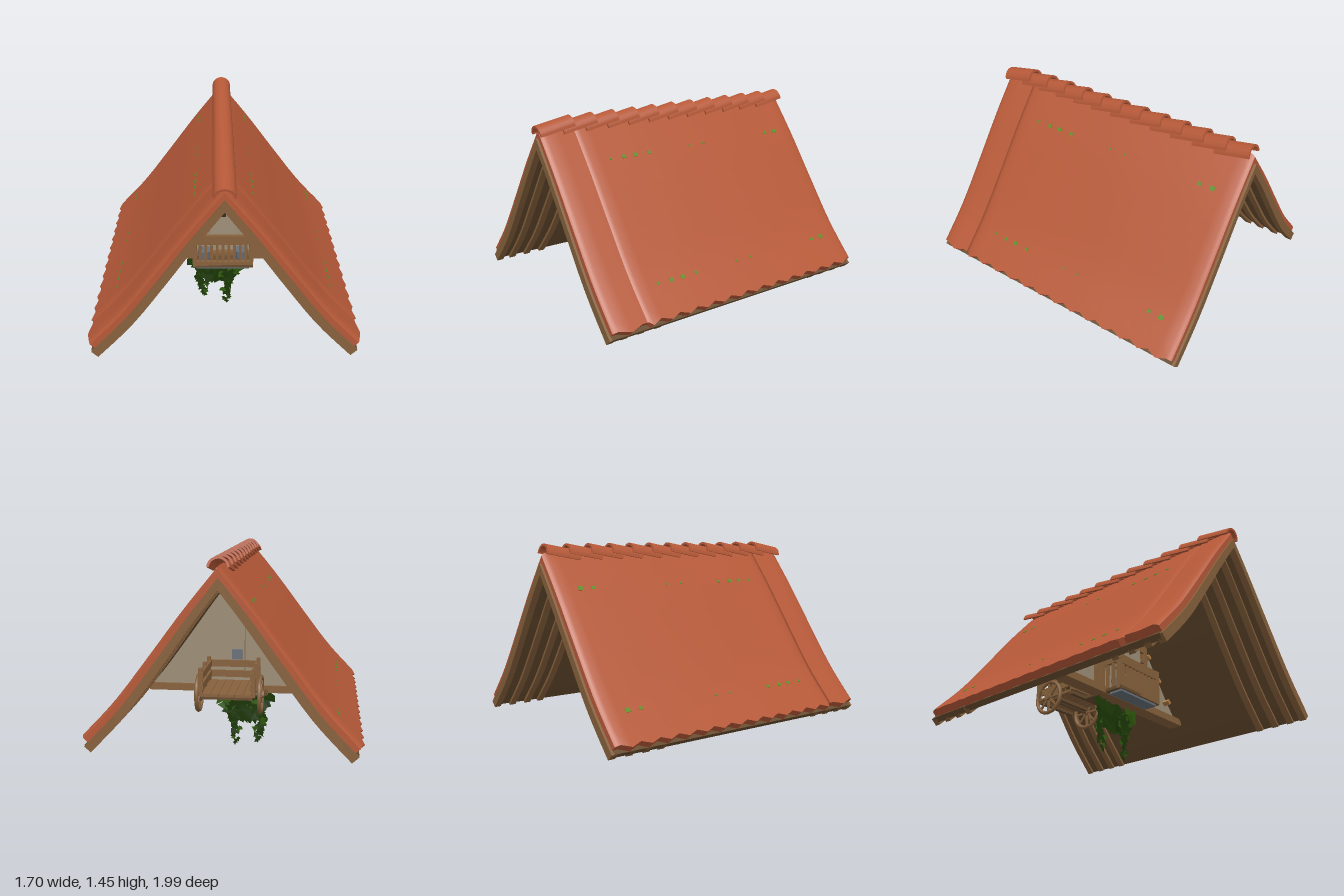
import * as THREE from 'three';
import { toCreasedNormals } from 'three/addons/utils/BufferGeometryUtils.js';

const mat = (name, color, side = THREE.FrontSide) => {
  const m = new THREE.MeshStandardMaterial({ color, side });
  m.name = name;
  return m;
};
const M = {
  tile: mat('terracotta', 0xb65938),
  wood: mat('oak', 0x87613c),
  dark: mat('dark oak', 0x674c2f),
  slot: mat('shadow brown', 0x3a2718),
  peg: mat('light oak', 0xb27c48),
  plaster: mat('plaster', 0x9c8d76),
  iron: mat('blue grey iron', 0x68707a),
  leaf: mat('ivy green', 0x1b3706, THREE.DoubleSide),
  leaf2: mat('fresh ivy green', 0x305a0c, THREE.DoubleSide),
  moss: mat('moss', 0x5c9128),
};

function add(parent, name, geo, material, p = [0, 0, 0], r = [0, 0, 0]) {
  const mesh = new THREE.Mesh(geo, material);
  mesh.name = name;
  mesh.position.set(...p);
  mesh.rotation.set(...r);
  parent.add(mesh);
  return mesh;
}
const box = (parent, name, m, size, p, r) => add(parent, name, new THREE.BoxGeometry(...size), m, p, r);
function group(parent, name) {
  const g = new THREE.Group();
  g.name = name;
  parent.add(g);
  return g;
}

// Roof slope from eave (t = 0) to ridge (t = 1)
const slope = new THREE.CatmullRomCurve3(
  [[0.838, 0.363], [0.635, 0.58], [0.425, 0.852], [0.205, 1.145], [0, 1.397]].map(([x, y]) => new THREE.Vector3(x, y, 0)));
const STEPS = 14;

// Point on the +x slope, sunk by depth; the sinking direction turns vertical at the ridge
function slopePoint(t, depth) {
  const p = slope.getPoint(t), d = slope.getTangent(t);
  const n = new THREE.Vector2(-d.y, d.x).normalize();
  const u = n.clone().lerp(new THREE.Vector2(0, -1), t).normalize();
  const k = depth / Math.sqrt(u.dot(n));
  return new THREE.Vector2(p.x + u.x * k, p.y + u.y * k);
}
// Line over both slopes, from -x eave to +x eave
function roofLine(depth, stretch = 0) {
  const half = [];
  for (let i = 0; i <= STEPS; i++) {
    const p = slopePoint(i / STEPS, depth);
    if (i === 0) { p.x += stretch * 0.72; p.y -= stretch * 0.69; }
    half.push(p);
  }
  const left = half.map(p => new THREE.Vector2(-p.x, p.y));
  return [...left, ...half.slice(0, -1).reverse()];
}
// Bent slab that follows the roof between two depths
function roofSlab(parent, name, m, d0, d1, z0, z1) {
  const shape = new THREE.Shape([...roofLine(d0, 0.02), ...roofLine(d1, 0.02).reverse()]);
  const geo = new THREE.ExtrudeGeometry(shape, { depth: z1 - z0, bevelEnabled: false });
  return add(parent, name, toCreasedNormals(geo, 0.5), m, [0, 0, z0]);
}
// Tiled sheet with zigzag eaves and softly dropped ends
function tileSheet(z0, z1, dropBack, dropFront) {
  const zs = [z0, z0 + 0.012, z0 + 0.035];
  const n = Math.round((z1 - z0 - 0.08) / 0.0655);
  for (let i = 1; i < n; i++) zs.push(z0 + 0.035 + (z1 - z0 - 0.07) * i / n);
  zs.push(z1 - 0.035, z1 - 0.012, z1);
  const pos = [], idx = [];
  let m = 0;
  zs.forEach((z, k) => {
    const e0 = Math.max(0, 1 - (z - z0) / 0.035), e1 = Math.max(0, 1 - (z1 - z) / 0.035);
    const drop = dropBack * e0 * e0 + dropFront * e1 * e1;
    const inner = k > 1 && k < zs.length - 2;
    const wave = inner && k % 2 ? 0.018 : -0.008;
    const ring = [...roofLine(drop, wave), ...roofLine(0.055, wave).reverse()];
    m = ring.length;
    ring.forEach(p => pos.push(p.x, p.y, z));
  });
  for (let k = 0; k < zs.length - 1; k++) for (let i = 0; i < m; i++) {
    const a = k * m + i, b = k * m + (i + 1) % m;
    idx.push(a, a + m, b, b, a + m, b + m);
  }
  const last = (zs.length - 1) * m;
  for (let i = 0; i < m / 2 - 1; i++) {
    const j = m - 1 - i;
    idx.push(last + i, last + j, last + i + 1, last + i + 1, last + j, last + j - 1);
    idx.push(i, i + 1, j, i + 1, j - 1, j);
  }
  const geo = new THREE.BufferGeometry();
  geo.setAttribute('position', new THREE.Float32BufferAttribute(pos, 3));
  geo.setIndex(idx);
  return toCreasedNormals(geo, 0.6);
}

function buildRoof(root) {
  const roof = group(root, 'roof');
  add(roof, 'mainTiles', tileSheet(-0.98, 0.75, 0.016, 0.014), M.tile);
  add(roof, 'frontTiles', tileSheet(0.75, 0.98, 0, 0.016), M.tile);
  roofSlab(roof, 'ceiling', M.dark, 0.05, 0.09, -0.975, 0.975);
  for (const z of [-0.995, -0.88, -0.765, -0.66, 0.62, 0.74, 0.855, 0.95])
    roofSlab(roof, 'rafterPair', M.wood, 0.053, 0.108, z, z + 0.045);

  // Overlapping ridge tiles
  const ring = new THREE.Shape();
  ring.absarc(0, 0, 0.067, 0.08, Math.PI - 0.08, false);
  ring.absarc(0, 0, 0.052, Math.PI - 0.08, 0.08, true);
  const ridge = toCreasedNormals(
    new THREE.ExtrudeGeometry(ring, { depth: 0.238, bevelEnabled: false, curveSegments: 14 }), 0.6);
  for (let i = 0; i < 12; i++) add(roof, 'ridgeTile', ridge, M.tile, [0, 1.385, 0.753 - i * 0.157], [0.185, 0, 0]);

  // Moss tufts on both slopes: position along the ridge and size
  const tufts = [[0.58, 0.018], [0.48, 0.026], [0.395, 0.028], [0.29, 0.022], [-0.04, 0.014], [-0.155, 0.014], [-0.72, 0.024], [-0.81, 0.032]];
  for (const [z, size] of tufts) for (const t of [0.783, 0.18]) for (const s of [-1, 1]) {
    const p = slopePoint(t, 0), d = slope.getTangent(t);
    box(roof, 'moss', M.moss, [size * 0.9, 0.006, size], [s * p.x, p.y, z], [0, 0, s * Math.atan2(d.y, d.x)]);
  }
}

function buildGable(root) {
  const g = group(root, 'gable');
  const tri = new THREE.Shape([[-0.66, 0.44], [0.66, 0.44], [0, 1.28]].map(p => new THREE.Vector2(...p)));
  add(g, 'plasterWall', new THREE.ExtrudeGeometry(tri, { depth: 0.04, bevelEnabled: false }), M.plaster, [0, 0, -0.02]);
  box(g, 'tieBeam', M.wood, [1.28, 0.05, 0.1], [0, 0.441, 0.01]);
  box(g, 'kingPost', M.wood, [0.025, 0.2, 0.06], [0, 1.16, 0.02]);
  box(g, 'collarBeam', M.wood, [0.34, 0.03, 0.05], [0, 1.01, 0.02]);
  // Plaster pier and iron bracket on the rear side
  box(g, 'rearPier', M.plaster, [0.1, 0.5, 0.06], [0, 0.8, -0.045]);
  box(g, 'rearBracket', M.iron, [0.07, 0.07, 0.03], [0, 0.7, -0.085]);
  // Doors with planks and rails
  for (const s of [-1, 1]) {
    box(g, 'doorPanel', M.dark, [0.17, 0.33, 0.02], [s * 0.15, 0.835, 0.025]);
    for (let i = 0; i < 5; i++) box(g, 'doorPlank', M.wood, [0.026, 0.31, 0.02], [s * (0.08 + i * 0.033), 0.825, 0.03]);
    for (const y of [0.7, 0.79, 0.87]) box(g, 'doorRail', M.wood, [0.15, 0.024, 0.02], [s * 0.15, y, 0.05]);
    box(g, 'doorPost', M.wood, [0.035, 0.52, 0.06], [s * 0.23, 0.72, 0.03]);
    box(g, 'sidePost', M.wood, [0.022, 0.14, 0.05], [s * 0.27, 0.52, 0.02]);
    add(g, 'curvedBrace', new THREE.TorusGeometry(0.15, 0.014, 6, 12, 1.35), M.wood, [s * 0.42, 0.58, 0.025], [0, s > 0 ? Math.PI : 0, 0]);
    add(g, 'doorArch', new THREE.TorusGeometry(0.065, 0.007, 6, 12, Math.PI), M.wood, [s * 0.14, 0.91, 0.05]);
    for (const [x, y] of [[0.49, 0.56], [0.38, 0.695], [0.265, 0.845], [0.165, 0.985], [0.06, 1.13]])
      box(g, 'peg', M.peg, [0.034, 0.026, 0.05], [s * x, y, 0.045], [0, 0, s * (0.9 - Math.PI / 2)]);
  }
  // Tapered stone column with cap and dark slit
  const shaft = new THREE.CylinderGeometry(0.105, 0.13, 0.4, 4, 1).rotateY(Math.PI / 4).scale(1, 1, 0.6);
  add(g, 'column', toCreasedNormals(shaft, 0.5), M.plaster, [0, 0.85, 0.07]);
  box(g, 'columnCap', M.plaster, [0.175, 0.055, 0.11], [0, 1.06, 0.07], [0, 0, -0.04]);
  box(g, 'slit', M.slot, [0.044, 0.25, 0.008], [0, 0.915, 0.126]);
}

function buildBalcony(root) {
  const g = group(root, 'balcony');
  box(g, 'floor', M.dark, [0.42, 0.02, 0.32], [0, 0.43, 0.03]);
  box(g, 'floorPlate', M.iron, [0.37, 0.016, 0.1], [0, 0.413, 0.13]);
  box(g, 'topRail', M.wood, [0.42, 0.065, 0.03], [0, 0.635, 0.175]);
  box(g, 'bottomRail', M.wood, [0.42, 0.04, 0.03], [0, 0.445, 0.175]);
  for (let i = 0; i < 9; i++) box(g, 'baluster', M.wood, [0.018, 0.15, 0.018], [-0.16 + i * 0.04, 0.53, 0.175]);
  for (const s of [-1, 1]) {
    box(g, 'cornerPost', M.wood, [0.03, 0.25, 0.03], [s * 0.197, 0.545, 0.175]);
    box(g, 'sideRail', M.wood, [0.025, 0.05, 0.15], [s * 0.197, 0.64, 0.1]);
    for (const z of [0.07, 0.12]) box(g, 'sideBaluster', M.wood, [0.018, 0.18, 0.018], [s * 0.197, 0.53, z]);
    add(g, 'pail', new THREE.CylinderGeometry(0.05, 0.04, 0.08, 10), M.iron, [s * 0.13, 0.48, 0.105]);
  }
}

function buildCart(root) {
  const c = group(root, 'cart');
  c.position.z = -0.46;
  for (let i = 0; i < 6; i++) box(c, 'bedPlank', M.wood, [0.05, 0.018, 0.38], [-0.13 + i * 0.052, 0.555, 0]);
  for (const z of [-0.15, 0, 0.15]) box(c, 'crossBeam', M.dark, [0.32, 0.025, 0.03], [0, 0.535, z]);
  add(c, 'axle', new THREE.CylinderGeometry(0.013, 0.013, 0.42, 8), M.dark, [0, 0.525, -0.03], [0, 0, Math.PI / 2]);
  for (const s of [-1, 1]) {
    for (const y of [0.61, 0.68]) box(c, 'sideBoard', M.wood, [0.014, 0.045, 0.38], [s * 0.155, y, 0]);
    for (const z of [-0.17, 0, 0.17]) box(c, 'sidePost', M.wood, [0.025, 0.18, 0.025], [s * 0.167, 0.635, z]);
    const w = group(c, 'wheel');
    w.position.set(s * 0.2, 0.53, -0.03);
    w.rotation.y = Math.PI / 2;
    add(w, 'rim', new THREE.TorusGeometry(0.115, 0.014, 6, 20), M.wood);
    add(w, 'hub', new THREE.CylinderGeometry(0.024, 0.024, 0.045, 10), M.wood, [0, 0, 0], [Math.PI / 2, 0, 0]);
    for (let i = 0; i < 4; i++) box(w, 'spoke', M.wood, [0.22, 0.014, 0.012], [0, 0, 0], [0, 0, i * Math.PI / 4]);
  }
  for (const y of [0.61, 0.68]) box(c, 'endBoard', M.wood, [0.31, 0.045, 0.014], [0, y, 0.18]);
}

function buildVine(root) {
  const v = group(root, 'hangingIvy');
  let seed = 7;
  const rnd = () => (seed = (seed * 16807) % 2147483647) / 2147483647;
  const leaf = new THREE.ShapeGeometry(new THREE.Shape(
    [[0, -1], [0.45, -0.3], [0.9, 0.1], [0.3, 0.3], [0.2, 0.7], [-0.5, 0.6], [-0.8, 0], [-0.3, -0.2]].map(p => new THREE.Vector2(...p))));
  const put = (x, y, z, size, m) => add(v, 'leaf', leaf, m, [x, y, z],
    [(rnd() - 0.5) * 0.3, (rnd() - 0.5) * 0.5, (rnd() - 0.5) * 2]).scale.setScalar(size);
  // Dense upper foliage, fresher at the +x end, then two tapering tails
  for (let i = 0; i < 8; i++) for (let j = 0; j < 4; j++)
    put(-0.21 + i * 0.047 + j * 0.008 * (4 - i), 0.36 - j * 0.038 - rnd() * 0.02, (rnd() - 0.5) * 0.045, 0.07,
      i > 5 && j < 2 ? M.leaf2 : M.leaf);
  for (const [x, low] of [[-0.145, 0.055], [0.025, 0.022]]) for (let i = 0; i < 24; i++) {
    const f = i / 23;
    put(x + (rnd() - 0.5) * 0.1 * (1 - f * 0.7), 0.32 + (low - 0.32) * f, (x < 0 ? -0.025 : 0.015) + (rnd() - 0.5) * 0.02,
      0.055 - 0.034 * f, i % 5 ? M.leaf : M.leaf2);
  }
}

export function createModel() {
  const root = new THREE.Group();
  root.name = 'gabledRoof';
  buildRoof(root);
  buildGable(root);
  buildBalcony(root);
  buildCart(root);
  buildVine(root);
  return root;
}
